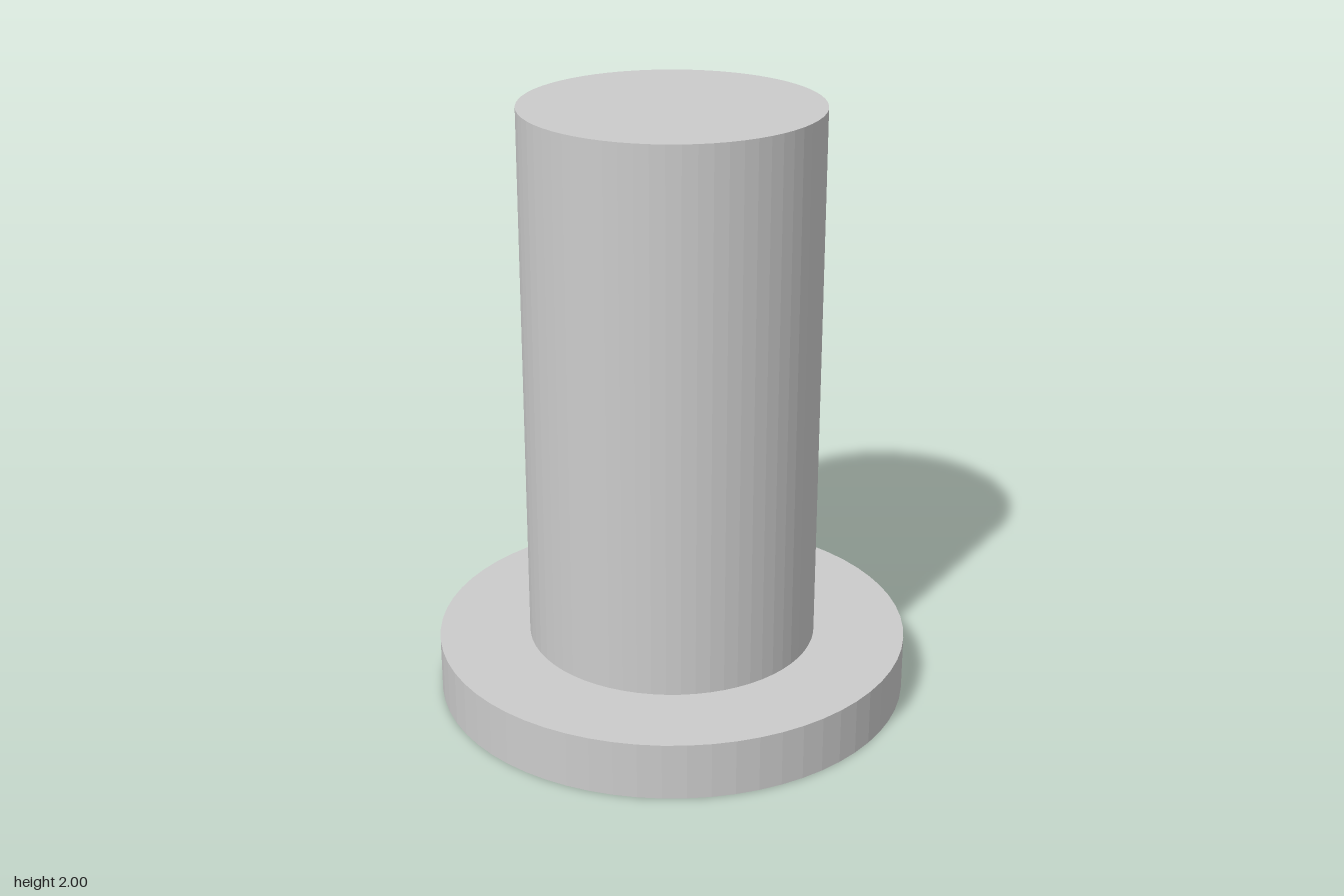
import * as THREE from 'three';

const SIDES = 64;
const FLANGE_HEIGHT = 0.19;
const TOTAL_HEIGHT = 2;

export function createModel() {
  const model = new THREE.Group();
  model.name = 'flangedPin';
  const material = new THREE.MeshStandardMaterial({ color: 0xcccccc, flatShading: true });

  // Upright disc or cylinder standing between two heights
  const addCylinder = (name, radius, bottom, top) => {
    const geometry = new THREE.CylinderGeometry(radius, radius, top - bottom, SIDES);
    const mesh = new THREE.Mesh(geometry, material);
    mesh.name = name;
    mesh.position.y = (bottom + top) / 2;
    model.add(mesh);
  };

  // Wide base flange
  addCylinder('flange', 0.79, 0, FLANGE_HEIGHT);
  // Solid shaft rising from the flange
  addCylinder('shaft', 0.485, FLANGE_HEIGHT, TOTAL_HEIGHT);

  return model;
}
